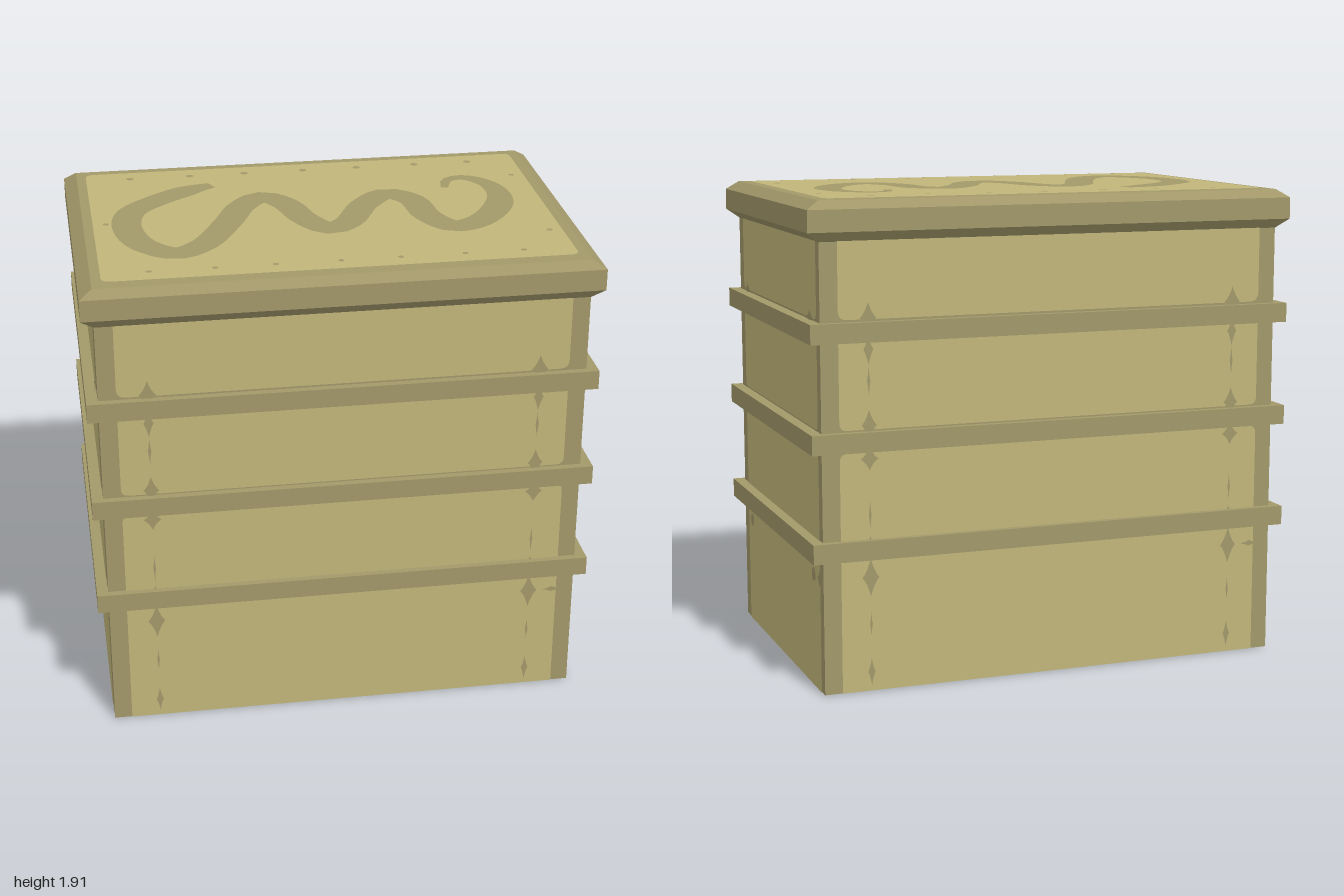
import * as THREE from 'three';

const sand = new THREE.MeshStandardMaterial({ color: 0xc1b67a });
sand.name = 'sand';
const wornSand = new THREE.MeshStandardMaterial({ color: 0xa2986a });
wornSand.name = 'wornSand';

const W = 0.95, D = 0.635; // half width and half depth of the body
const SKIN = 0.003; // height of painted faces above the surface
const TIERS = [ // bottom, top, lower corner radius, upper corner radius
  [0.003, 0.54, 0, 0], [0.6, 0.947, 0, 0.035],
  [1.033, 1.38, 0.03, 0], [1.455, 1.752, 0.035, 0],
];

function mesh(name, geometry, material, parent) {
  const m = new THREE.Mesh(geometry, material);
  m.name = name;
  parent.add(m);
  return m;
}

// Rectangle with separately rounded lower and upper corners
function roundedPanel(x0, x1, y0, y1, rl, ru) {
  const s = new THREE.Shape();
  s.moveTo(x0 + rl, y0);
  s.lineTo(x1 - rl, y0);
  s.quadraticCurveTo(x1, y0, x1, y0 + rl);
  s.lineTo(x1, y1 - ru);
  s.quadraticCurveTo(x1, y1, x1 - ru, y1);
  s.lineTo(x0 + ru, y1);
  s.quadraticCurveTo(x0, y1, x0, y1 - ru);
  s.lineTo(x0, y0 + rl);
  s.quadraticCurveTo(x0, y0, x0 + rl, y0);
  return new THREE.ShapeGeometry(s, 4);
}

// Pointed stain with inward curving sides
function starStain(x, y, w, h) {
  const s = new THREE.Shape();
  s.moveTo(x, y - h);
  s.quadraticCurveTo(x + w * 0.4, y - h * 0.3, x + w, y);
  s.quadraticCurveTo(x + w * 0.4, y + h * 0.3, x, y + h);
  s.quadraticCurveTo(x - w * 0.4, y + h * 0.3, x - w, y);
  s.quadraticCurveTo(x - w * 0.4, y - h * 0.3, x, y - h);
  return new THREE.ShapeGeometry(s, 5);
}

// Flat-faced solid made from rectangular rings [halfWidth, y, halfDepth]
function ringSolid(rings) {
  const pos = [];
  const corners = rings.map(([w, y, d]) => [[-w, y, d], [w, y, d], [w, y, -d], [-w, y, -d]]);
  const quad = (a, b, c, d) => [a, b, c, a, c, d].forEach((p) => pos.push(...p));
  for (let i = 0; i + 1 < corners.length; i++) {
    for (let k = 0; k < 4; k++) {
      const n = (k + 1) % 4;
      quad(corners[i][k], corners[i][n], corners[i + 1][n], corners[i + 1][k]);
    }
  }
  quad(...corners[corners.length - 1]);
  quad(...[...corners[0]].reverse());
  const g = new THREE.BufferGeometry();
  g.setAttribute('position', new THREE.Float32BufferAttribute(pos, 3));
  g.computeVertexNormals();
  return g;
}

// Painted ribbon following a curve, tapering towards the far end
function ribbon(points, width) {
  const curve = new THREE.CatmullRomCurve3(points.map(([x, z]) => new THREE.Vector3(x, 0, z)));
  const n = 120, pos = [], idx = [];
  for (let i = 0; i <= n; i++) {
    const p = curve.getPointAt(i / n), t = curve.getTangentAt(i / n);
    const h = width * 0.5 * Math.min(1, 0.25 + (n - i) / 22, 0.5 + i / 8);
    pos.push(p.x - t.z * h, 0, p.z + t.x * h, p.x + t.z * h, 0, p.z - t.x * h);
    if (i < n) idx.push(2 * i, 2 * i + 2, 2 * i + 1, 2 * i + 1, 2 * i + 2, 2 * i + 3);
  }
  const g = new THREE.BufferGeometry();
  g.setAttribute('position', new THREE.Float32BufferAttribute(pos, 3));
  g.setIndex(idx);
  g.computeVertexNormals();
  return g;
}

// Broad face: panels between worn edges, with stains near the corners
function broadFace() {
  const g = new THREE.Group();
  for (const [a, b, rl, ru] of TIERS) mesh('panel', roundedPanel(-0.88, 0.88, a, b, rl, ru), sand, g);
  const stains = [[0.455, 0.034, 0.075], [0.08, 0.015, 0.055], [0.27, 0.006, 0.05], [0.58, 0.02, 0.04],
    [0.7, 0.006, 0.06], [0.92, 0.035, 0.045], [1.05, 0.03, 0.06], [1.22, 0.007, 0.06], [1.34, 0.02, 0.06],
    [1.46, 0.033, 0.06]];
  for (const side of [-1, 1]) {
    for (const [y, w, h] of stains) mesh('stain', starStain(side * 0.763, y, w, h), wornSand, g).position.z = 0.002;
  }
  mesh('edgeStain', starStain(0.86, 0.455, 0.04, 0.012), wornSand, g).position.z = 0.002;
  return g;
}

// Narrow face: one wide and one thin worn edge, with two round stains
function narrowFace() {
  const g = new THREE.Group();
  for (const [a, b, rl, ru] of TIERS) mesh('panel', roundedPanel(-0.56, 0.598, a, b, rl, ru), sand, g);
  for (const x of [-0.49, 0.51]) {
    const dot = mesh('stain', new THREE.CircleGeometry(0.027, 12), wornSand, g);
    dot.position.set(x, 0.455, 0.002);
    mesh('upperStain', starStain(x, 1.455, 0.045, 0.03), wornSand, g).position.z = 0.002;
  }
  mesh('edgeStain', starStain(0.595, 0.455, 0.028, 0.035), wornSand, g).position.z = 0.002;
  return g;
}

export function createModel() {
  const model = new THREE.Group();
  model.name = 'ribbedCrate';

  // Body, with its underside in the lighter colour
  const body = mesh('body', new THREE.BoxGeometry(2 * W, 1.76, 2 * D),
    [wornSand, wornSand, wornSand, sand, wornSand, wornSand], model);
  body.position.y = 0.883;

  // Painted faces, turned around the body
  [['front', broadFace, D], ['right', narrowFace, W], ['back', broadFace, D], ['left', narrowFace, W]]
    .forEach(([name, build, distance], i) => {
      const turn = new THREE.Group();
      turn.name = name + 'Face';
      const face = build();
      face.position.z = distance + SKIN;
      turn.add(face);
      turn.rotation.y = i * Math.PI / 2;
      model.add(turn);
    });

  // Raised bands
  for (const y of [0.567, 0.988, 1.408]) {
    mesh('band', new THREE.BoxGeometry(1.99, 0.077, 1.33), wornSand, model).position.y = y;
  }

  // Bevelled lid
  mesh('lid', ringSolid([[W, 1.75, D], [1, 1.787, 0.665], [1, 1.872, 0.665], [W, 1.905, D]]), wornSand, model);

  // Lid panel with its spots and wavy stroke
  const top = new THREE.Group();
  top.name = 'lidTop';
  top.position.y = 1.908;
  model.add(top);
  mesh('lidPanel', roundedPanel(-0.912, 0.912, -0.582, 0.59, 0.035, 0.035), sand, top).rotation.x = -Math.PI / 2;
  const spots = [[0.86, -0.32], [0.86, 0.32], [-0.86, 0]];
  for (const x of [-0.73, -0.48, -0.25, 0, 0.23, 0.48, 0.71]) spots.push([x, -0.51], [x, 0.51]);
  for (const [x, z] of spots) {
    const spot = mesh('spot', new THREE.CircleGeometry(z < -0.5 ? 0.016 : 0.012, 10), wornSand, top);
    spot.rotation.x = -Math.PI / 2;
    spot.position.set(x, 0.002, z);
  }
  const wave = [[-0.4, -0.385], [-0.49, -0.345], [-0.64, -0.24], [-0.75, -0.12], [-0.78, 0.04], [-0.73, 0.24],
    [-0.61, 0.345], [-0.5, 0.27], [-0.38, 0.05], [-0.3, -0.13], [-0.21, -0.215], [-0.13, -0.13], [-0.07, 0.06],
    [0.01, 0.175], [0.09, 0.12], [0.19, -0.07], [0.3, -0.175], [0.385, -0.1], [0.42, 0.1], [0.5, 0.225],
    [0.6, 0.19], [0.71, 0.05], [0.755, -0.1], [0.73, -0.24], [0.65, -0.32], [0.58, -0.3], [0.55, -0.21]];
  mesh('waveStroke', ribbon(wave, 0.118), wornSand, top).position.y = 0.002;

  // Forked stain under the body
  const outline = [[0.86, -0.03], [0.85, -0.15], [0.55, -0.33], [0.41, -0.33], [-0.13, -0.62], [-0.75, -0.62],
    [-0.63, -0.48], [0.16, -0.155], [0.32, -0.057], [0.19, 0.11], [-0.53, 0.63], [-0.22, 0.63], [0.26, 0.36],
    [0.74, 0.08]];
  const stain = new THREE.Shape(outline.map(([x, z]) => new THREE.Vector2(x, z)));
  mesh('undersideStain', new THREE.ShapeGeometry(stain), wornSand, model).rotation.x = Math.PI / 2;
  return model;
}
